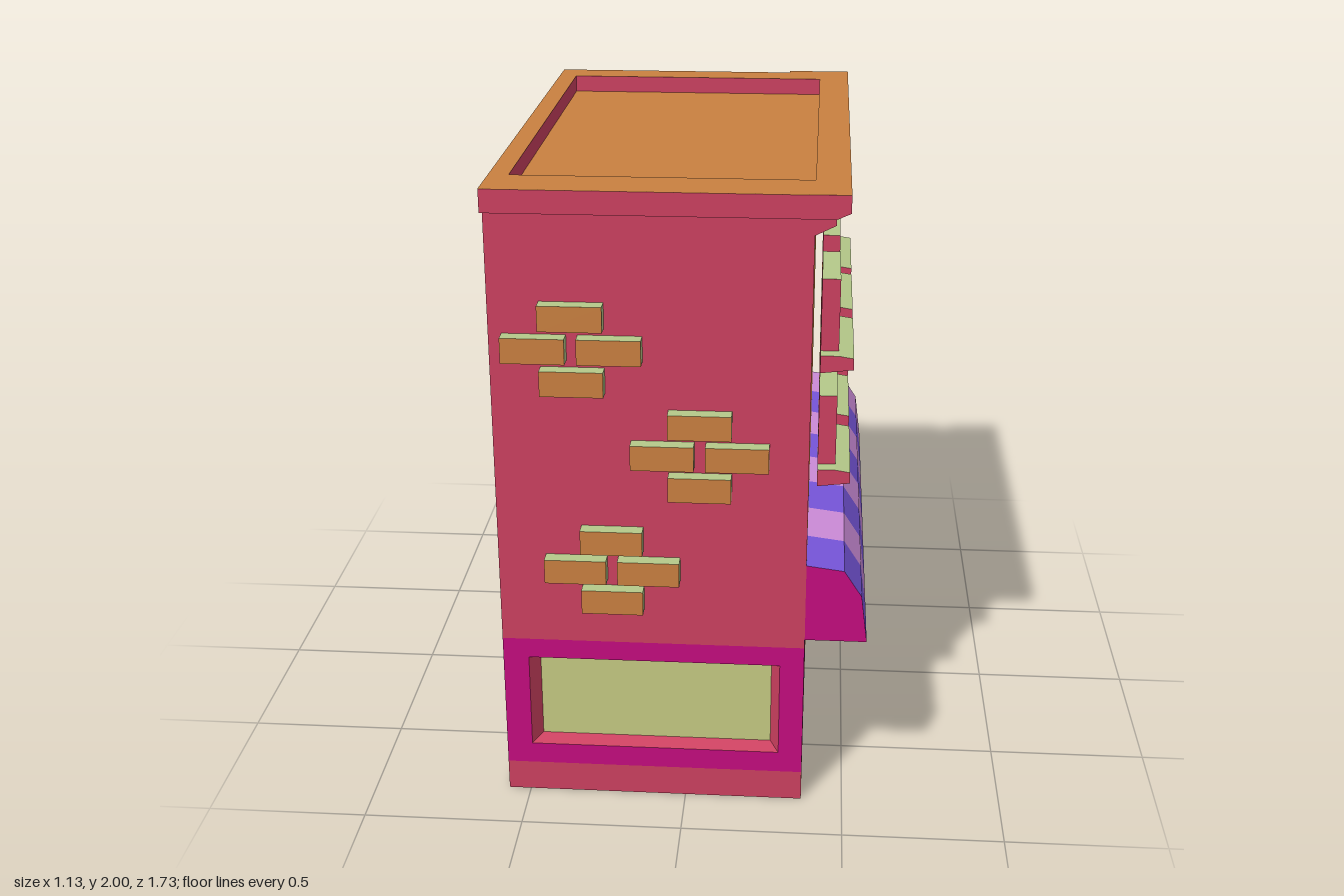
import * as THREE from 'three';

const mat = (name, color) => {
  const m = new THREE.MeshStandardMaterial({ color });
  m.name = name;
  return m;
};

export function createModel() {
  const crimson = mat('crimson', 0xcc4060), magenta = mat('magenta', 0xc40c7e);
  const orange = mat('orange', 0xc98040), green = mat('pale green', 0xb5c98a);
  const purple = mat('purple', 0x815ccb), violet = mat('violet', 0x7856dc);
  const orchid = mat('orchid', 0xcd8cda), glass = mat('yellow glass', 0xc5c982);
  const pink = mat('pink glass', 0xcb6086);

  const model = new THREE.Group();
  model.name = 'cornerShop';

  // Body extents
  const X0 = -0.57, X1 = 0.37, Z0 = -0.835, Z1 = 0.815, TOP = 2;

  // One group per wall plane; local +z points out of the building
  const face = (name, pos, rx, ry) => {
    const g = new THREE.Group();
    g.name = name;
    g.position.set(...pos);
    g.rotation.set(rx, ry, 0);
    model.add(g);
    return g;
  };
  const H = Math.PI / 2;
  const front = face('brickSide', [0, 0, Z1], 0, 0);
  const shop = face('shopSide', [X1, 0, 0], 0, H);
  const back = face('backSide', [0, 0, Z0], 0, Math.PI);
  const far = face('plainSide', [X0, 0, 0], 0, -H);
  const under = face('underside', [0, 0, 0], H, 0);
  const roof = face('roof', [0, TOP, 0], -H, 0);

  const add = (parent, name, geo, material) => {
    const m = new THREE.Mesh(geo, material);
    m.name = name;
    parent.add(m);
    return m;
  };
  const corners = ([a, b, c, d]) => [[a, b], [c, b], [c, d], [a, d]];
  const toPath = (pts) => pts.map(([x, y]) => new THREE.Vector2(x, y));

  // Flat panel with rectangular holes; rectangles are [x0, y0, x1, y1]
  const panel = (parent, name, material, pts, holes = [], z = 0) => {
    const shape = new THREE.Shape(toPath(pts));
    for (const h of holes) shape.holes.push(new THREE.Path(toPath(corners(h))));
    const m = add(parent, name, new THREE.ShapeGeometry(shape), material);
    m.position.z = z;
  };
  const rect = (parent, name, material, r, holes, z) => panel(parent, name, material, corners(r), holes, z);

  // Surface from quads, each of four points
  const quads = (list) => {
    const v = [];
    for (const [a, b, c, d] of list) v.push(...a, ...b, ...c, ...a, ...c, ...d);
    const g = new THREE.BufferGeometry();
    g.setAttribute('position', new THREE.Float32BufferAttribute(v, 3));
    g.computeVertexNormals();
    return g;
  };

  // Sloped reveal from outer to inner rectangle, closed by a pane
  const recess = (parent, name, outer, inner, zOut, zIn, sideMat, paneMat) => {
    const o = corners(outer).map((p) => [...p, zOut]);
    const n = corners(inner).map((p) => [...p, zIn]);
    add(parent, name + 'Reveal', quads(o.map((p, i) => [p, o[(i + 1) % 4], n[(i + 1) % 4], n[i]])), sideMat);
    rect(parent, name + 'Pane', paneMat, inner, [], zIn);
  };

  // Profile in x/y swept along z; one material per edge (null leaves it open)
  const prism = (name, pts, z0, z1, edgeMats, frontMat, backMat) => {
    const g = new THREE.Group();
    g.name = name;
    model.add(g);
    pts.forEach((a, i) => {
      const b = pts[(i + 1) % pts.length];
      if (edgeMats[i]) add(g, name + 'Side', quads([[[...a, z1], [...a, z0], [...b, z0], [...b, z1]]]), edgeMats[i]);
    });
    if (frontMat) panel(g, name + 'FrontEnd', frontMat, pts, [], z1);
    if (backMat) {
      const end = new THREE.Group();
      end.name = name + 'BackEnd';
      end.rotation.y = Math.PI;
      end.position.z = z0;
      g.add(end);
      panel(end, name + 'BackEnd', backMat, pts.map(([x, y]) => [-x, y]).reverse());
    }
  };

  const box = (parent, name, [x0, y0, x1, y1], z0, z1, mats) => {
    const m = add(parent, name, new THREE.BoxGeometry(x1 - x0, y1 - y0, z1 - z0), mats);
    m.position.set((x0 + x1) / 2, (y0 + y1) / 2, (z0 + z1) / 2);
  };

  // Plain walls and underside
  rect(back, 'backWall', orange, [-X1, 0, -X0, TOP]);
  rect(far, 'plainWall', orange, [Z0, 0, Z1, TOP]);
  rect(under, 'floor', orange, [X0, Z0, X1, Z1]);

  // Brick side: base, painted band with wide window, upper wall
  const wide = [-0.49, 0.17, 0.295, 0.485];
  rect(front, 'base', crimson, [X0, 0, X1, 0.1]);
  rect(front, 'shopBand', magenta, [X0, 0.1, X1, 0.55], [wide]);
  recess(front, 'wideWindow', wide, [-0.46, 0.185, 0.268, 0.472], 0, -0.045, crimson, glass);
  rect(front, 'upperWall', crimson, [X0, 0.55, X1, TOP]);

  // Exposed bricks in clusters of four
  const brickMats = [green, green, green, green, orange, green];
  for (const [cx, cy] of [[-0.325, 1.52], [0.048, 1.193], [-0.218, 0.81]])
    for (const [dx, dy] of [[0, 0.1], [-0.111, 0], [0.111, 0], [0, -0.1]]) {
      const x = cx + dx, y = cy + dy;
      box(front, 'brick', [x - 0.094, y - 0.039, x + 0.094, y + 0.039], 0, 0.045, brickMats);
    }

  // Shop side (local x runs toward the back): ground floor
  const winA = [-0.755, 0.18, -0.285, 0.475], winB = [0.37, 0.18, 0.785, 0.475];
  const door = [-0.09, 0.022, 0.165, 0.488];
  const L = -Z1, R = -Z0;
  rect(shop, 'base', orange, [L, 0, -0.17, 0.1]);
  rect(shop, 'base', orange, [0.25, 0, R, 0.1]);
  panel(shop, 'shopFront', purple,
    [[L, 0.1], [-0.17, 0.1], [-0.17, 0], [0.25, 0], [0.25, 0.1], [R, 0.1], [R, 0.55], [L, 0.55]],
    [winA, winB, door]);
  recess(shop, 'shopWindow', winA, [-0.74, 0.19, -0.3, 0.46], 0, -0.045, crimson, glass);
  recess(shop, 'shopWindow', winB, [0.4, 0.203, 0.755, 0.45], 0, -0.045, crimson, glass);
  recess(shop, 'door', door, door, 0, -0.04, orange, glass);
  rect(shop, 'doorRail', purple, [-0.09, 0.143, 0.165, 0.19], [], -0.036);
  rect(shop, 'upperWall', orange, [L, 0.55, R, 1.81]);
  rect(shop, 'frieze', green, [L, 1.81, R, 1.93]);

  // Upper windows: two rows of three, standing just off the wall
  const frameMats = [green, crimson, green, crimson, green, orange];
  for (const b of [1.4, 1.03])
    for (const c of [-0.475, -0.02, 0.415]) {
      const y0 = b + 0.055, y1 = b + 0.28, w = 0.14, i = 0.098, yi = b + 0.248;
      box(shop, 'windowJamb', [c - w, y0, c - i, y1], 0.025, 0.08, frameMats);
      box(shop, 'windowJamb', [c + i, y0, c + w, y1], 0.025, 0.08, frameMats);
      box(shop, 'windowHead', [c - i, yi, c + i, y1], 0.025, 0.08, frameMats);
      recess(shop, 'upperWindow', [c - i, y0, c + i, yi], [c - 0.086, y0, c + 0.086, yi - 0.014],
        0.079, 0.027, crimson, pink);
      prism('windowSill',
        [[0.395, b], [0.495, b + 0.012], [0.495, b + 0.048], [0.45, y0], [0.395, y0]],
        -c - 0.185, -c + 0.185, [crimson, green, green, green, orange], crimson, orange);
    }

  // Striped awning
  const awning = [[0.37, 0.58], [0.56, 0.58], [0.54, 0.735], [0.485, 0.82], [0.37, 0.835]];
  const n = 8, step = (Z1 - Z0) / n;
  for (let k = 0; k < n; k++) {
    const s = k % 2 ? orchid : violet, z = Z1 - k * step;
    prism('awningStripe', awning, z - step, z, [orange, s, s, s, null],
      k === 0 ? magenta : null, k === n - 1 ? orange : null);
  }

  // Cornice: lower moulding, upper lip, and the return past the back wall
  prism('corniceMoulding', [[0.37, 1.87], [0.43, 1.9], [0.43, 1.93], [0.37, 1.93]],
    Z0, Z1, [crimson, green, null, null], crimson, orange);
  prism('corniceLip', [[0.37, 1.93], [0.43, 1.93], [0.47, 1.948], [0.47, TOP], [0.37, TOP]],
    Z0, 0.86, [crimson, crimson, green, null, null], crimson, orange);
  prism('corniceReturn', [[0.26, 1.93], [0.43, 1.93], [0.47, 1.948], [0.47, TOP], [0.26, TOP]],
    -0.865, Z0, [crimson, crimson, green, orange, orange], null, orange);
  box(front, 'parapetLip', [X0, 1.93, X1, 1.999], 0, 0.045, [orange, orange, orange, crimson, crimson, orange]);

  // Roof rim and sunken deck
  const deck = [-0.51, -0.7, 0.369, 0.72];
  rect(roof, 'parapetTop', orange, [X0, -0.86, 0.47, -Z0], [deck]);
  recess(roof, 'roofDeck', deck, deck, 0, -0.055, crimson, orange);

  return model;
}
